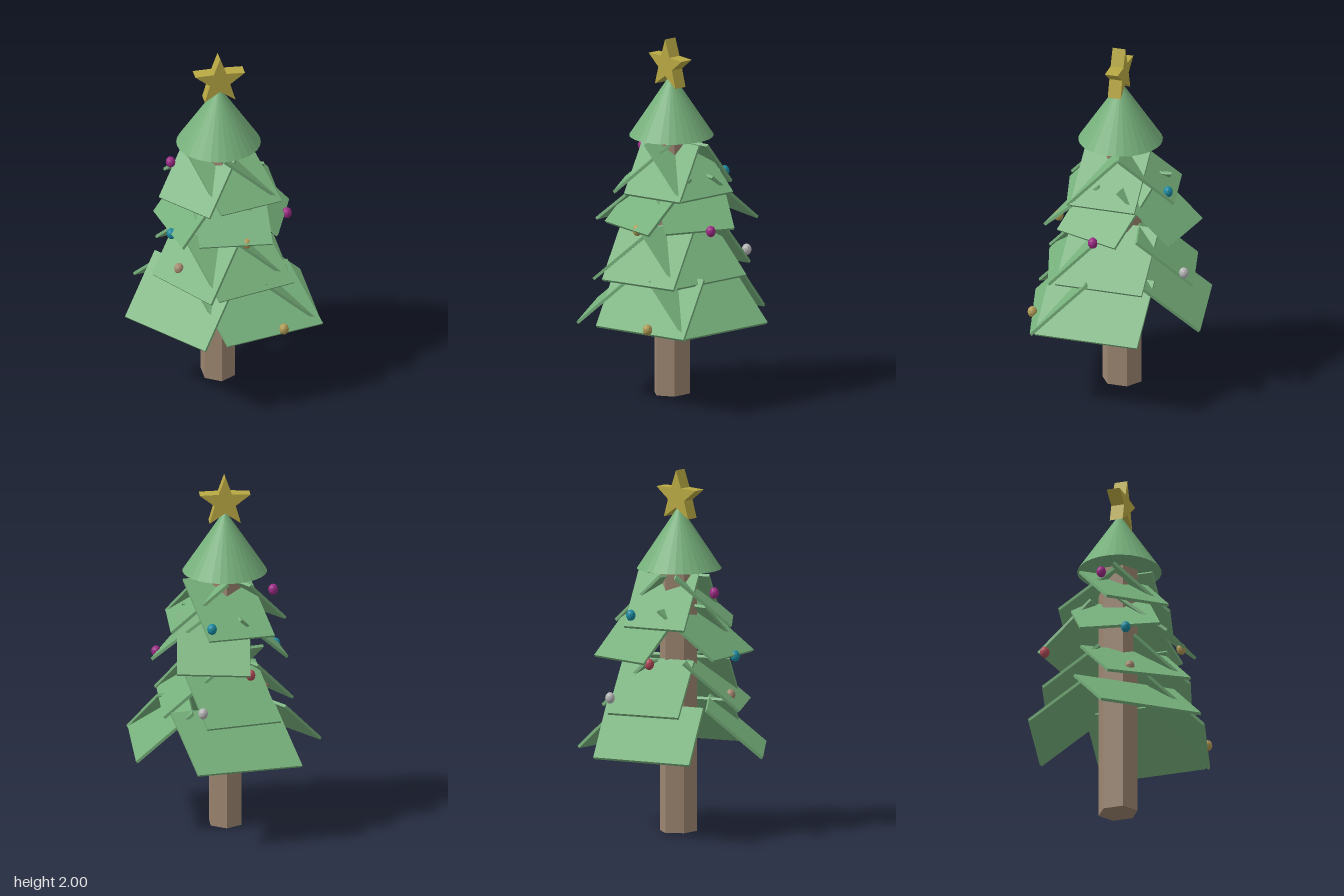
import * as THREE from 'three';

const mat = (color, flatShading = true) => new THREE.MeshStandardMaterial({ color, flatShading });
const leaf = mat(0x76b07b), bark = mat(0x9c8570), gold = mat(0xb8a843);

// Sloping board: outer bottom edge a-b, rising inward along the given heading
const RUN = 0.31, RISE = 0.27, THICK = 0.016;
function board([ax, az, bx, bz, heading], y) {
  const t = THREE.MathUtils.degToRad(heading);
  const a = new THREE.Vector3(ax, y, az), b = new THREE.Vector3(bx, y, bz);
  const inward = new THREE.Vector3(-Math.cos(t) * RUN, RISE, -Math.sin(t) * RUN);
  const normal = b.clone().sub(a).cross(inward).normalize();
  const geo = new THREE.BoxGeometry(1, 1, 1);
  const p = geo.attributes.position, v = new THREE.Vector3();
  for (let i = 0; i < p.count; i++) {
    v.lerpVectors(a, b, p.getX(i) + 0.5)
      .addScaledVector(inward, 0.5 - p.getZ(i))
      .addScaledVector(normal, (p.getY(i) - 0.5) * THICK);
    p.setXYZ(i, v.x, v.y, v.z);
  }
  geo.computeVertexNormals();
  return new THREE.Mesh(geo, leaf);
}

// Tiers from bottom to top: boards on the left, front, right and back
const tiers = [
  [0.45, [[0.515, 0.32, 0.515, -0.27, 0], [-0.04, 0.495, 0.52, 0.345, 62],
    [-0.53, 0.06, -0.175, 0.52, 133], [0.19, -0.53, -0.39, -0.41, 245]]],
  [0.695, [[0.363, 0.25, 0.363, -0.247, 0], [-0.07, 0.425, 0.372, 0.29, 62],
    [-0.377, 0.048, -0.127, 0.445, 133], [0.135, -0.473, -0.276, -0.366, 247]]],
  [0.99, [[0.285, 0.266, 0.422, -0.11, 25], [-0.166, 0.323, 0.237, 0.358, 90],
    [-0.335, -0.127, -0.26, 0.31, 150], [0.298, -0.391, -0.1, -0.45, 274]]],
  [1.165, [[0.318, 0.18, 0.318, -0.19, 0], [-0.035, 0.296, 0.32, 0.2, 62],
    [-0.335, 0.028, -0.11, 0.313, 133], [0.115, -0.358, -0.248, -0.282, 246]]],
];

const baubles = [
  [-0.257, 1.345, -0.03, 0x9c2a85], [0.382, 0.985, 0.027, 0x9c2a85],
  [-0.282, 0.98, 0.12, 0x1a8a9f], [0.1, 1.22, -0.315, 0x1a8a9f],
  [-0.105, 0.98, -0.405, 0xb04a58], [0.157, 0.77, -0.425, 0xb8b8b8],
  [0.29, 0.473, 0.405, 0xb09a55], [0.1, 0.985, 0.315, 0xb09a55],
  [-0.242, 0.76, 0.13, 0xa58a70],
];

export function createModel() {
  const tree = new THREE.Group();
  tree.name = 'decoratedTree';
  const add = (mesh, name, parent = tree) => {
    mesh.name = name;
    parent.add(mesh);
    return mesh;
  };

  // Six-sided trunk, slightly narrower across x
  const trunk = add(new THREE.Mesh(new THREE.CylinderGeometry(0.1125, 0.1125, 1.5, 6), bark), 'trunk');
  trunk.scale.x = 0.87;
  trunk.position.set(0.005, 0.75, -0.018);

  // Foliage boards
  tiers.forEach(([y, boards], i) => {
    const tier = add(new THREE.Group(), `foliageTier${i + 1}`);
    boards.forEach((b, j) => add(board(b, y), `${['left', 'front', 'right', 'back'][j]}Board`, tier));
  });

  // Conical top
  const cone = add(new THREE.Mesh(new THREE.ConeGeometry(0.232, 0.35, 32), leaf), 'coneTop');
  cone.position.set(0.007, 1.63, -0.011);

  // Five-pointed star
  const points = [];
  for (let i = 0; i < 10; i++) {
    const r = i % 2 ? 0.06 : 0.146, t = Math.PI / 2 + i * Math.PI / 5;
    points.push(new THREE.Vector2(Math.cos(t) * r, Math.sin(t) * r));
  }
  const starGeo = new THREE.ExtrudeGeometry(new THREE.Shape(points), { depth: 0.074, bevelEnabled: false });
  const star = add(new THREE.Mesh(starGeo, gold), 'star');
  star.position.set(0.007, 1.854, -0.039);

  // Hanging baubles
  const baubleGeo = new THREE.IcosahedronGeometry(0.027, 1);
  for (const [x, y, z, color] of baubles) {
    const ball = add(new THREE.Mesh(baubleGeo, mat(color)), 'bauble');
    ball.position.set(x, y, z);
    ball.scale.y = 1.2;
  }
  return tree;
}
